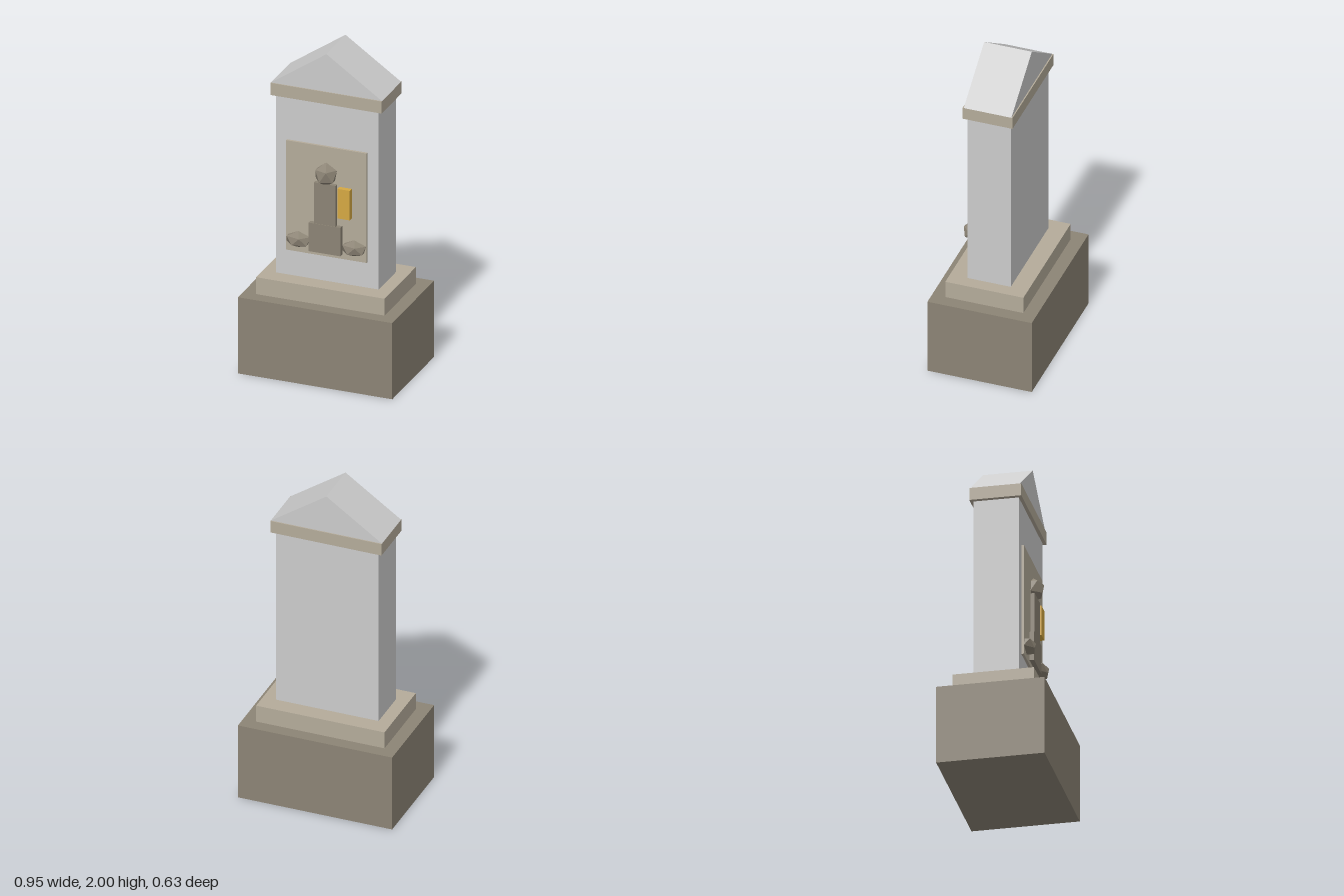
import * as THREE from 'three';
import { ConvexGeometry } from 'three/addons/geometries/ConvexGeometry.js';

const mat = (color) => new THREE.MeshStandardMaterial({ color, flatShading: true });

export function createModel() {
  const root = new THREE.Group();
  root.name = 'monument';
  const grey = mat(0xcccccc), dark = mat(0x8c8475), light = mat(0xb4ab9a), gold = mat(0xd4a843);

  const add = (name, geometry, material, parent = root) => {
    const mesh = new THREE.Mesh(geometry, material);
    mesh.name = name;
    parent.add(mesh);
    return mesh;
  };

  // Box given by its limits on each axis
  const box = (name, material, [x0, x1], [y0, y1], [z0, z1], parent) => {
    const mesh = add(name, new THREE.BoxGeometry(x1 - x0, y1 - y0, z1 - z0), material, parent);
    mesh.position.set((x0 + x1) / 2, (y0 + y1) / 2, (z0 + z1) / 2);
    return mesh;
  };

  // Twenty-sided boulder standing on a pole: two staggered rings of five and two tips
  const boulder = (name, position, scale, parent) => {
    const points = [new THREE.Vector3(0, 1, 0), new THREE.Vector3(0, -1, 0)];
    for (let i = 0; i < 10; i++) {
      const a = (i * Math.PI) / 5, r = 2 / Math.sqrt(5);
      const y = (i % 2 ? -1 : 1) / Math.sqrt(5);
      points.push(new THREE.Vector3(r * Math.cos(a), y, r * Math.sin(a)));
    }
    const mesh = add(name, new ConvexGeometry(points), dark, parent);
    mesh.position.set(...position);
    mesh.scale.set(...scale);
  };

  // Stepped base, shaft and cornice
  box('base', dark, [-0.473, 0.473], [0, 0.475], [-0.315, 0.315]);
  box('plinth', light, [-0.394, 0.394], [0.475, 0.58], [-0.236, 0.236]);
  box('shaft', grey, [-0.315, 0.315], [0.58, 1.69], [-0.131, 0.131]);
  box('cornice', light, [-0.341, 0.341], [1.69, 1.765], [-0.151, 0.151]);

  // Gabled top
  const gable = new THREE.Shape();
  gable.moveTo(-0.341, 1.765);
  gable.lineTo(0.341, 1.765);
  gable.lineTo(0, 2);
  gable.closePath();
  const roof = new THREE.ExtrudeGeometry(gable, { depth: 0.288, bevelEnabled: false });
  add('gableRoof', roof.translate(0, 0, -0.144), grey);

  // Relief on the front face
  const relief = new THREE.Group();
  relief.name = 'relief';
  root.add(relief);
  box('reliefPanel', light, [-0.247, 0.247], [0.74, 1.422], [0.125, 0.146], relief);
  box('figureLowerBody', dark, [-0.098, 0.098], [0.767, 0.945], [0.14, 0.173], relief);
  box('figureTorso', dark, [-0.067, 0.067], [0.945, 1.2], [0.14, 0.17], relief);
  box('goldTablet', gold, [0.08, 0.156], [1.003, 1.187], [0.14, 0.177], relief);
  boulder('figureHead', [0, 1.252, 0.144], [0.073, 0.073, 0.073], relief);
  for (const side of [-1, 1]) {
    boulder(side < 0 ? 'rightRock' : 'leftRock', [side * 0.171, 0.819, 0.145], [0.082, 0.05, 0.061], relief);
  }

  return root;
}
